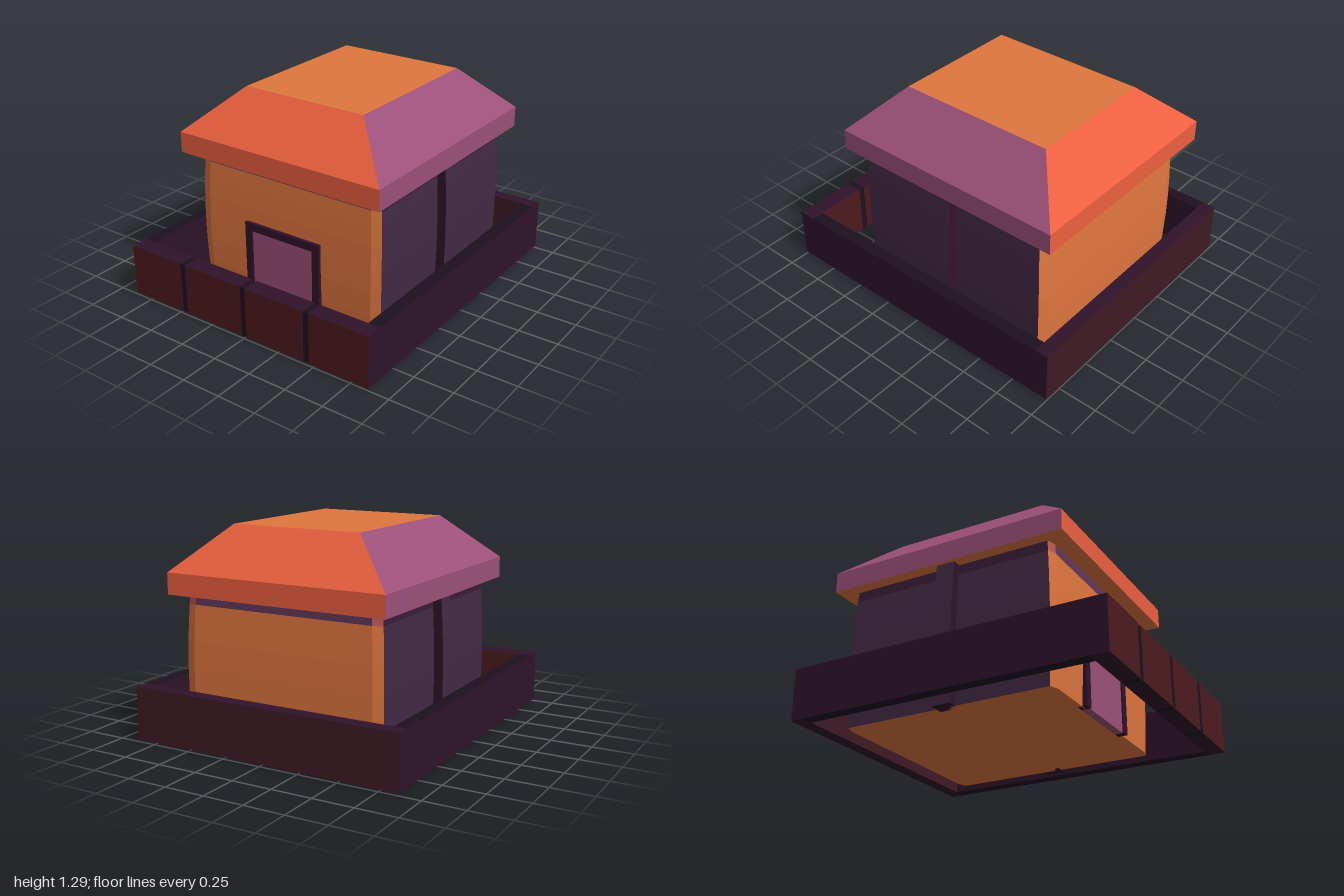
import * as THREE from 'three';

const ORANGE = 0xe0763e, RED = 0xec6040, PURPLE = 0x9c5078, WALL = 0x432945;
const DARK = 0x30132a, DARKER = 0x1e101e, MAROON = 0x401a24, BRICK = 0x4c1a1e;

const mat = (color) => new THREE.MeshStandardMaterial({ color, flatShading: true });

// Box from min and max corners; sides facing x, y and z may differ in colour
function box(name, min, max, cx, cy = cx, cz = cx) {
  const size = max.map((v, i) => v - min[i]);
  const geo = new THREE.BoxGeometry(...size);
  geo.translate(...max.map((v, i) => (v + min[i]) / 2));
  const [x, y, z] = [mat(cx), mat(cy), mat(cz)];
  const mesh = new THREE.Mesh(geo, [x, x, y, y, z, z]);
  mesh.name = name;
  return mesh;
}

// Mesh from a list of flat convex polygons
function polygons(name, polys, color) {
  const pos = [];
  for (const p of polys)
    for (let i = 1; i < p.length - 1; i++) pos.push(...p[0], ...p[i], ...p[i + 1]);
  const geo = new THREE.BufferGeometry();
  geo.setAttribute('position', new THREE.Float32BufferAttribute(pos, 3));
  geo.computeVertexNormals();
  const mesh = new THREE.Mesh(geo, mat(color));
  mesh.name = name;
  return mesh;
}

// Side faces between stacked loops, only for the chosen loop edges
function sides(rings, edges) {
  const out = [];
  for (let r = 0; r < rings.length - 1; r++)
    for (const i of edges) {
      const a = rings[r], b = rings[r + 1], j = (i + 1) % a.length;
      out.push([a[i], a[j], b[j], b[i]]);
    }
  return out;
}

// Slight outward bulge of the walls over their height
const bulge = (y) => 1 - 0.018 * ((y - 0.4) / 0.4) ** 2;
const CX = 0.1;

function createHouse() {
  const house = new THREE.Group();
  house.name = 'house';

  // Walls: bulged box with cut corners
  const outline = [[-0.67, 0.66], [0.67, 0.66], [0.69, 0.6], [0.69, -0.6],
    [0.67, -0.66], [-0.67, -0.66], [-0.69, -0.6], [-0.69, 0.6]];
  const ring = (y) => outline.map(([x, z]) => [CX + x * bulge(y), y, z * bulge(y)]);
  const lower = [0, 0.15, 0.3, 0.45, 0.6, 0.72, 0.82].map(ring);
  const upper = [0.82, 0.89].map(ring);
  house.add(polygons('frontAndBackWalls', sides(lower, [0, 4]), WALL));
  house.add(polygons('sideWallsAndCorners', sides(lower, [1, 2, 3, 5, 6, 7]), ORANGE));
  house.add(polygons('frontAndBackTopBand', sides(upper, [0, 4]), 0x3a1c34));
  house.add(polygons('sideTopBand', sides(upper, [2, 6]), 0x603658));
  house.add(polygons('cornerTopBand', sides(upper, [1, 3, 5, 7]), 0xb85a55));
  house.add(polygons('floor', [[...lower[0]].reverse()], ORANGE));

  // Pillars in the middle of the front and back walls, following the bulge
  for (const s of [1, -1]) {
    const geo = new THREE.BoxGeometry(0.12, 0.89, 0.1, 1, 6, 1);
    geo.translate(0.09, 0.445, s * 0.667);
    const p = geo.attributes.position;
    for (let i = 0; i < p.count; i++) p.setZ(i, p.getZ(i) * bulge(p.getY(i)));
    const [side, face] = [mat(DARK), mat(WALL)];
    const pillar = new THREE.Mesh(geo, [side, side, side, side, face, face]);
    pillar.name = s > 0 ? 'frontPillar' : 'backPillar';
    house.add(pillar);
  }

  // Door with its frame
  const X = -0.61;
  house.add(box('doorPanel', [X + 0.01, 0.0, -0.25], [X + 0.06, 0.47, 0.2], PURPLE));
  for (const z of [-0.3, 0.2])
    house.add(box('doorPost', [X, 0.0, z], [X + 0.06, 0.51, z + 0.05], DARK));
  house.add(box('doorLintel', [X, 0.46, -0.25], [X + 0.06, 0.51, 0.2], DARK));
  return house;
}

function createRoof() {
  const roof = new THREE.Group();
  roof.name = 'roof';
  const rect = (x0, x1, z0, z1, y) => [[x0, y, z1], [x1, y, z1], [x1, y, z0], [x0, y, z0]];
  const rings = [
    rect(-0.68, 0.875, -0.72, 0.71, 0.885),
    rect(-0.68, 0.875, -0.72, 0.71, 1.015),
    rect(-0.41, 0.61, -0.42, 0.42, 1.288),
  ];
  roof.add(polygons('frontAndBackRoof', sides(rings, [0, 2]), PURPLE));
  roof.add(polygons('sideRoof', sides(rings, [1, 3]), RED));
  roof.add(polygons('flatRoofTop', [rings[2]], ORANGE));
  roof.add(polygons('eavesUnderside', [[...rings[0]].reverse()], ORANGE));
  return roof;
}

function createFence() {
  const fence = new THREE.Group();
  fence.name = 'fence';
  const y0 = 0.014, y1 = 0.338, Z = 0.87;
  fence.add(box('frontFence', [-0.89, y0, 0.79], [0.915, y1, Z], MAROON, DARKER, DARK));
  fence.add(box('backFence', [-0.89, y0, -Z], [0.915, y1, -0.795], MAROON, DARKER, DARK));
  fence.add(box('leftFence', [0.915, y0, -Z], [1, y1, Z], MAROON, DARK, DARK));

  // Panelled side by the door, with dark dividers
  const w = 0.02;
  const joints = [-0.46, 0, 0.45];
  const starts = [-Z, ...joints.map((z) => z + w)];
  const ends = [...joints.map((z) => z - w), Z];
  starts.forEach((z, i) =>
    fence.add(box('fencePanel', [-1, y0, z], [-0.89, y1, ends[i]], BRICK, DARK, DARK)));
  for (const z of joints)
    fence.add(box('fenceDivider', [-0.995, y0, z - w], [-0.895, y1 - 0.004, z + w], DARKER));
  return fence;
}

export function createModel() {
  const model = new THREE.Group();
  model.name = 'walledHouse';
  model.add(createHouse(), createRoof(), createFence());
  return model;
}
